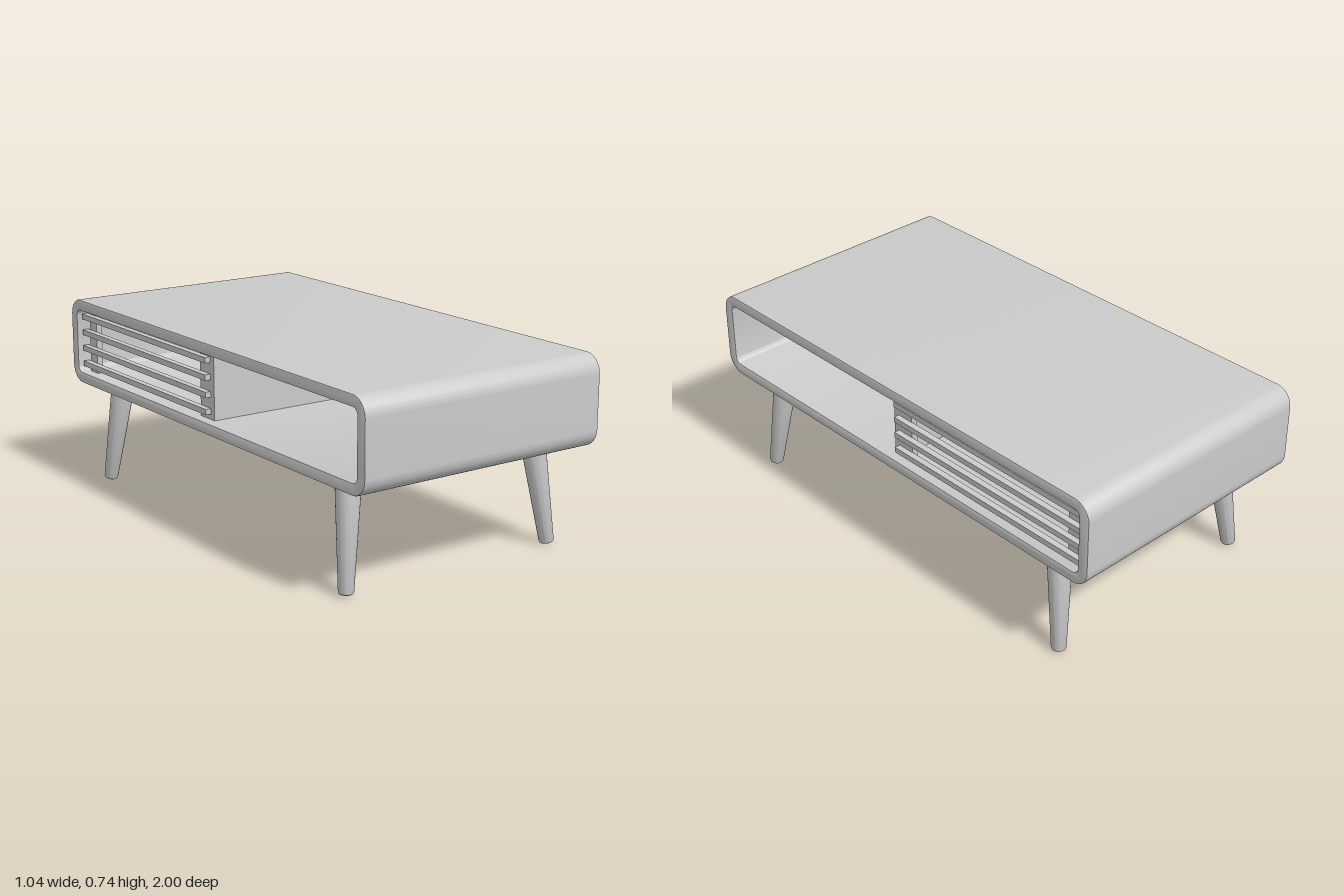
import * as THREE from 'three';
import { toCreasedNormals } from 'three/addons/utils/BufferGeometryUtils.js';

const material = new THREE.MeshStandardMaterial({ color: 0xcccccc });

// Rounded rectangle centred on the origin
function roundedRect(Type, w, h, r) {
  const s = new Type();
  const x = w / 2 - r, y = h / 2 - r;
  s.absarc(x, y, r, 0, Math.PI / 2);
  s.absarc(-x, y, r, Math.PI / 2, Math.PI);
  s.absarc(-x, -y, r, Math.PI, Math.PI * 1.5);
  s.absarc(x, -y, r, Math.PI * 1.5, Math.PI * 2);
  s.closePath();
  return s;
}

export function createModel() {
  const model = new THREE.Group();
  model.name = 'coffeeTable';

  const add = (name, geometry, parent = model) => {
    const mesh = new THREE.Mesh(geometry, material);
    mesh.name = name;
    parent.add(mesh);
    return mesh;
  };
  // Box given by its min and max on each axis
  const box = (name, x0, x1, y0, y1, z0, z1, parent) =>
    add(name, new THREE.BoxGeometry(x1 - x0, y1 - y0, z1 - z0), parent)
      .position.set((x0 + x1) / 2, (y0 + y1) / 2, (z0 + z1) / 2);

  // Hollow cabinet, open on both long sides
  const halfWidth = 0.522, bevel = 0.005;
  const profile = roundedRect(THREE.Shape, 2, 0.346, 0.07);
  profile.holes.push(roundedRect(THREE.Path, 1.91, 0.258, 0.025));
  const shell = new THREE.ExtrudeGeometry(profile, {
    depth: 2 * (halfWidth - bevel), curveSegments: 10,
    bevelSize: bevel, bevelThickness: bevel, bevelOffset: -bevel, bevelSegments: 2,
  });
  shell.translate(0, 0, bevel - halfWidth);
  shell.rotateY(Math.PI / 2);
  add('cabinet', toCreasedNormals(shell, 0.6)).position.y = 0.57;

  // Divider across the middle
  box('divider', -0.48, 0.48, 0.439, 0.701, -0.018, 0.024);

  // Slatted screens on both open sides
  for (const side of [1, -1]) {
    const screen = new THREE.Group();
    screen.name = side > 0 ? 'leftScreen' : 'rightScreen';
    for (const z of [-0.044, -0.897])
      box('screenPost', 0.455, 0.48, 0.439, 0.701, z - 0.027, z + 0.027, screen);
    for (let i = 0; i < 4; i++) {
      const y = 0.472 + i * 0.0657;
      box('slat', 0.478, 0.503, y - 0.011, y + 0.011, -0.945, 0, screen);
    }
    if (side < 0) screen.children.forEach((m) => { m.position.x *= -1; });
    model.add(screen);
  }

  // Splayed tapered legs with rounded feet
  const foot = [[0, 0], [0.019, 0], [0.025, 0.003], [0.028, 0.01], [0.047, 0.397], [0, 0.397]];
  const legGeometry = toCreasedNormals(
    new THREE.LatheGeometry(foot.map(([r, y]) => new THREE.Vector2(r, y)), 28), 0.7);
  const up = new THREE.Vector3(0, 1, 0);
  for (const sx of [1, -1]) {
    for (const sz of [1, -1]) {
      const leg = add(`${sz > 0 ? 'front' : 'back'}${sx > 0 ? 'Left' : 'Right'}Leg`, legGeometry);
      leg.position.set(sx * 0.462, 0.003, sz * 0.82);
      const axis = new THREE.Vector3(-sx * 0.043, 0.394, -sz * 0.048).normalize();
      leg.quaternion.setFromUnitVectors(up, axis);
    }
  }
  return model;
}
